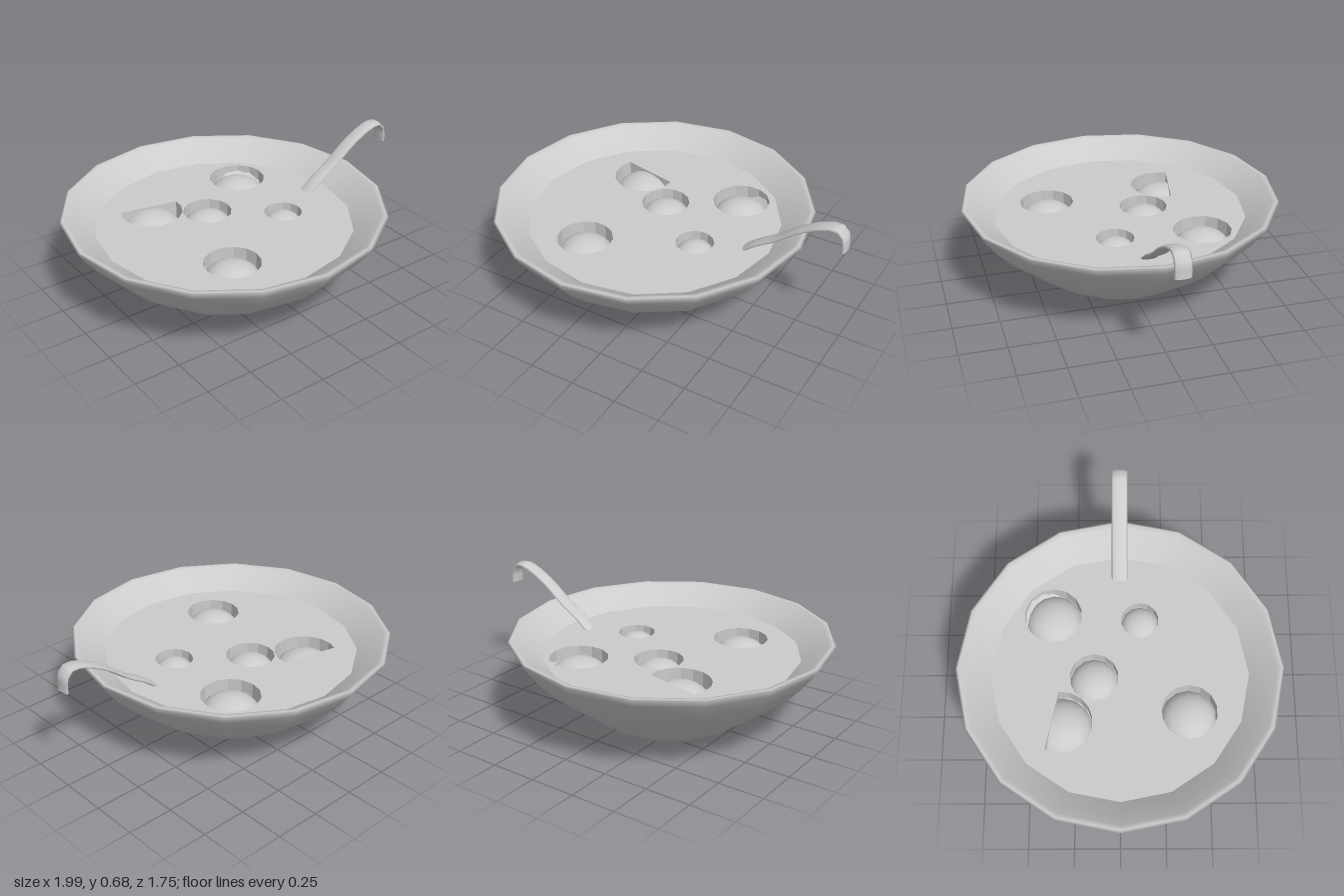
import * as THREE from 'three';

const CX = -0.125;     // bowl axis
const SOUP_Y = 0.375;  // soup level
const SIDES = 16;

const material = new THREE.MeshStandardMaterial({ color: 0xcccccc, side: THREE.DoubleSide });

function part(name, geometry, x = 0, y = 0, z = 0) {
  const mesh = new THREE.Mesh(geometry, material);
  mesh.name = name;
  mesh.position.set(x, y, z);
  return mesh;
}

// Points on an arc in the (x, z) plane
function arc(x, z, r, count, from = 0, to = Math.PI * 2, closed = true) {
  const points = [];
  for (let i = 0; i < count; i++) {
    const a = from + (to - from) * i / (closed ? count : count - 1);
    points.push(new THREE.Vector2(x + r * Math.cos(a), z + r * Math.sin(a)));
  }
  return points;
}

// Short upright wall hanging from a closed outline in the soup surface
function wallGeometry(points, depth) {
  const pos = [];
  points.forEach((p, i) => {
    const q = points[(i + 1) % points.length];
    pos.push(p.x, 0, p.y, q.x, 0, q.y, q.x, -depth, q.y);
    pos.push(p.x, 0, p.y, q.x, -depth, q.y, p.x, -depth, p.y);
  });
  const g = new THREE.BufferGeometry();
  g.setAttribute('position', new THREE.Float32BufferAttribute(pos, 3));
  g.computeVertexNormals();
  return g;
}

export function createModel() {
  const model = new THREE.Group();
  model.name = 'soupBowl';

  // Bowl: outer wall, rim, then inner wall
  const profile = [
    [0, 0], [0.345, 0], [0.46, 0.075], [0.57, 0.155], [0.695, 0.255], [0.79, 0.355],
    [0.85, 0.435], [0.873, 0.475], [0.86, 0.48], [0.835, 0.475], [0.785, 0.43],
    [0.69, 0.365], [0.56, 0.235], [0.32, 0.08], [0, 0.06],
  ].map(([r, y]) => new THREE.Vector2(r, y));
  model.add(part('bowl', new THREE.LatheGeometry(profile, SIDES), CX));

  // Dumplings: x, z, radius; the first one is partly covered by the soup
  const dumplings = [
    [-0.39, -0.315, 0.167], [-0.14, -0.14, 0.133], [0.22, -0.365, 0.158],
    [0.19, 0.11, 0.103], [-0.335, 0.37, 0.15],
  ];
  const outlines = dumplings.map(([x, z, r], i) => i === 0
    ? arc(x, z, r + 0.002, 11, -0.09, 3.65, false)
    : arc(x, z, r, 14));

  // Soup surface with an opening over each dumpling
  const soup = new THREE.Shape(arc(CX, 0, 0.695, SIDES));
  outlines.forEach((o) => soup.holes.push(new THREE.Path(o)));
  const soupGeometry = new THREE.ShapeGeometry(soup);
  soupGeometry.scale(1, -1, 1).rotateX(-Math.PI / 2);
  // Mirroring reversed the winding, so turn the faces and normals upward
  const index = soupGeometry.index;
  for (let i = 0; i < index.count; i += 3) {
    const a = index.getX(i);
    index.setX(i, index.getX(i + 2));
    index.setX(i + 2, a);
  }
  soupGeometry.computeVertexNormals();
  model.add(part('soup', soupGeometry, 0, SOUP_Y, 0));

  // Domes sunk in their openings
  dumplings.forEach(([x, z, r], i) => {
    const dome = new THREE.SphereGeometry(r, 14, 6, 0, Math.PI * 2, 0, Math.PI / 2);
    dome.scale(1, 0.7, 1);
    model.add(part('dumpling' + (i + 1), dome, x, SOUP_Y - 0.7 * r - 0.005, z));
    model.add(part('soupOpening' + (i + 1), wallGeometry(outlines[i], 0.6 * r), 0, SOUP_Y, 0));
  });

  // Ladle handle: a flat rounded strip hooked at the end
  const path = new THREE.CatmullRomCurve3([
    [0.42, 0.355], [0.5, 0.42], [0.61, 0.49], [0.74, 0.59], [0.87, 0.657],
    [0.94, 0.668], [0.975, 0.635], [0.982, 0.555],
  ].map(([x, y]) => new THREE.Vector3(x, y, 0)));
  const handle = new THREE.Group();
  handle.name = 'ladleHandle';
  handle.add(part('handleStrip', new THREE.TubeGeometry(path, 18, 0.012, 10).scale(1, 1, 3.7)));
  const tip = new THREE.CircleGeometry(0.012, 10).rotateX(Math.PI / 2).scale(1, 1, 3.7);
  handle.add(part('handleTip', tip, 0.982, 0.555, 0));
  model.add(handle);

  return model;
}
